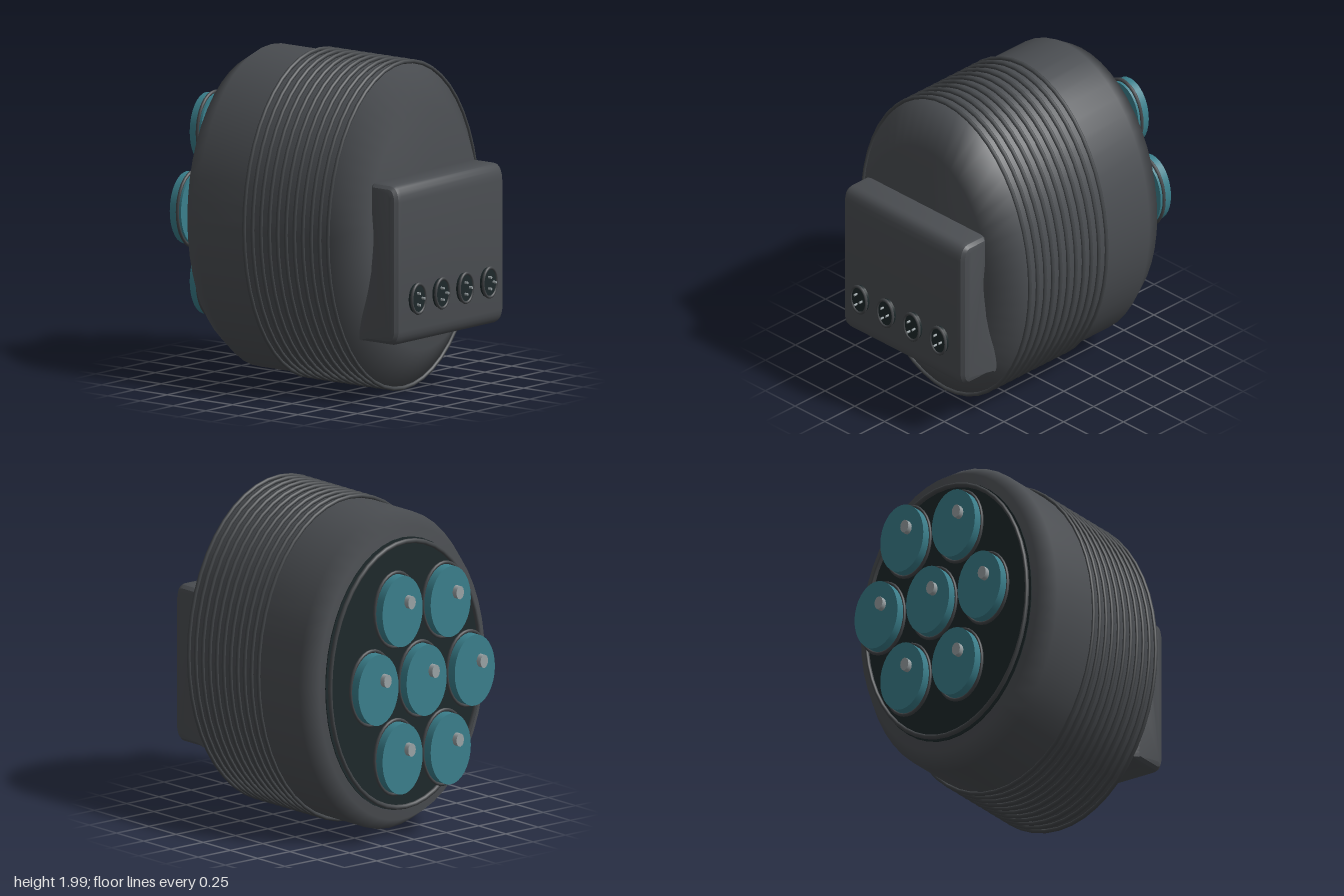
import * as THREE from 'three';
import { toCreasedNormals } from 'three/addons/utils/BufferGeometryUtils.js';

const SQUASH = 0.717; // round parts are narrowed across x
const CENTRE_Y = 1.004;

const flat = (name, color) => {
  const m = new THREE.MeshStandardMaterial({ color });
  m.name = name;
  return m;
};

export function createModel() {
  const shell = flat('shell grey', 0x4a4d51);
  const trim = flat('trim grey', 0x424548);
  const dark = flat('dark panel', 0x1d282a);
  const teal = flat('teal', 0x3a7f8c);
  const silver = flat('silver', 0x9aa3a6);

  const model = new THREE.Group();
  model.name = 'ovalPod';

  const add = (parent, name, geometry, material, x = 0, y = 0, z = 0) => {
    const mesh = new THREE.Mesh(geometry, material);
    mesh.name = name;
    mesh.position.set(x, y, z);
    parent.add(mesh);
    return mesh;
  };
  // cylinder lying along z, from z0 to z1
  const disc = (r, z0, z1, sides = 32) =>
    new THREE.CylinderGeometry(r, r, z1 - z0, sides).rotateX(Math.PI / 2).translate(0, 0, (z0 + z1) / 2);

  // everything round lives in a squashed group
  const oval = new THREE.Group();
  oval.name = 'ovalParts';
  oval.position.y = CENTRE_Y;
  oval.scale.x = SQUASH;
  model.add(oval);

  // body shell, turned about z
  const profile = [[0, -0.64], [0.893, -0.64], [0.97, -0.52], [0.97, 0.485], [0.73, 0.655], [0, 0.655]];
  const body = new THREE.LatheGeometry(profile.map(([r, z]) => new THREE.Vector2(r, z)), 48);
  add(oval, 'body', body.rotateX(Math.PI / 2), shell);

  // ribs around the front half
  const rib = new THREE.TorusGeometry(0.982, 0.013, 8, 48);
  for (let i = 0; i < 11; i++) add(oval, 'rib', rib, trim, 0, 0, 0.485 - i * 0.064);

  // back panel and its rim
  add(oval, 'backPanel', disc(0.83, -0.646, -0.63, 48), dark);
  add(oval, 'backRim', new THREE.TorusGeometry(0.81, 0.015, 8, 48), trim, 0, 0, -0.669);

  // seven caps in a honeycomb: one in the middle, six around
  const capGeo = disc(0.217, -0.866, -0.78);
  const capRing = new THREE.TorusGeometry(0.227, 0.011, 8, 32);
  const stud = disc(0.041, -0.902, -0.86, 12);
  for (let i = 0; i < 7; i++) {
    const cap = new THREE.Group();
    cap.name = 'rearCap';
    const a = i * Math.PI / 3;
    if (i < 6) cap.position.set(0.52 * Math.cos(a), 0.52 * Math.sin(a), 0);
    add(cap, 'capDisc', capGeo, teal);
    add(cap, 'capRing', capRing, trim, 0, 0, -0.802);
    add(cap, 'capStud', stud, silver, -0.06, 0.054, 0);
    oval.add(cap);
  }

  // front control box: side outline (z, y) extruded across x
  const side = new THREE.Shape();
  side.moveTo(0.855, 0.47);
  side.lineTo(0.855, 1.25);
  side.quadraticCurveTo(0.85, 1.345, 0.79, 1.35);
  side.lineTo(0.66, 1.35);
  side.quadraticCurveTo(0.637, 1.345, 0.637, 1.3);
  side.splineThru([[0.637, 1.17], [0.65, 1.03], [0.64, 0.9], [0.605, 0.7], [0.563, 0.55], [0.543, 0.44], [0.545, 0.385]]
    .map(([z, y]) => new THREE.Vector2(z, y)));
  side.lineTo(0.79, 0.385);
  side.quadraticCurveTo(0.845, 0.39, 0.855, 0.47);
  const bevel = 0.05;
  const box = new THREE.ExtrudeGeometry(side, {
    depth: 1.02 - 2 * bevel, curveSegments: 5, bevelEnabled: true,
    bevelSize: bevel, bevelThickness: bevel, bevelOffset: -bevel, bevelSegments: 3,
  });
  box.translate(0, 0, bevel - 0.51).rotateY(-Math.PI / 2);
  add(model, 'controlBox', toCreasedNormals(box, 0.5), shell);

  // four three-pin sockets on the box
  const barrel = disc(0.088, 0.84, 0.882, 24);
  const socketRing = new THREE.TorusGeometry(0.088, 0.01, 8, 24);
  const pin = disc(0.008, 0.87, 0.906, 8);
  for (let i = 0; i < 4; i++) {
    const socket = new THREE.Group();
    socket.name = 'socket';
    socket.position.set(-0.336 + i * 0.222, 0.656, 0);
    socket.scale.x = SQUASH;
    add(socket, 'socketBarrel', barrel, dark);
    add(socket, 'socketRing', socketRing, trim, 0, 0, 0.88);
    for (let k = 0; k < 3; k++) {
      const a = k * Math.PI * 2 / 3;
      add(socket, 'socketPin', pin, silver, 0.04 * Math.cos(a), 0.04 * Math.sin(a), 0);
    }
    model.add(socket);
  }

  return model;
}
